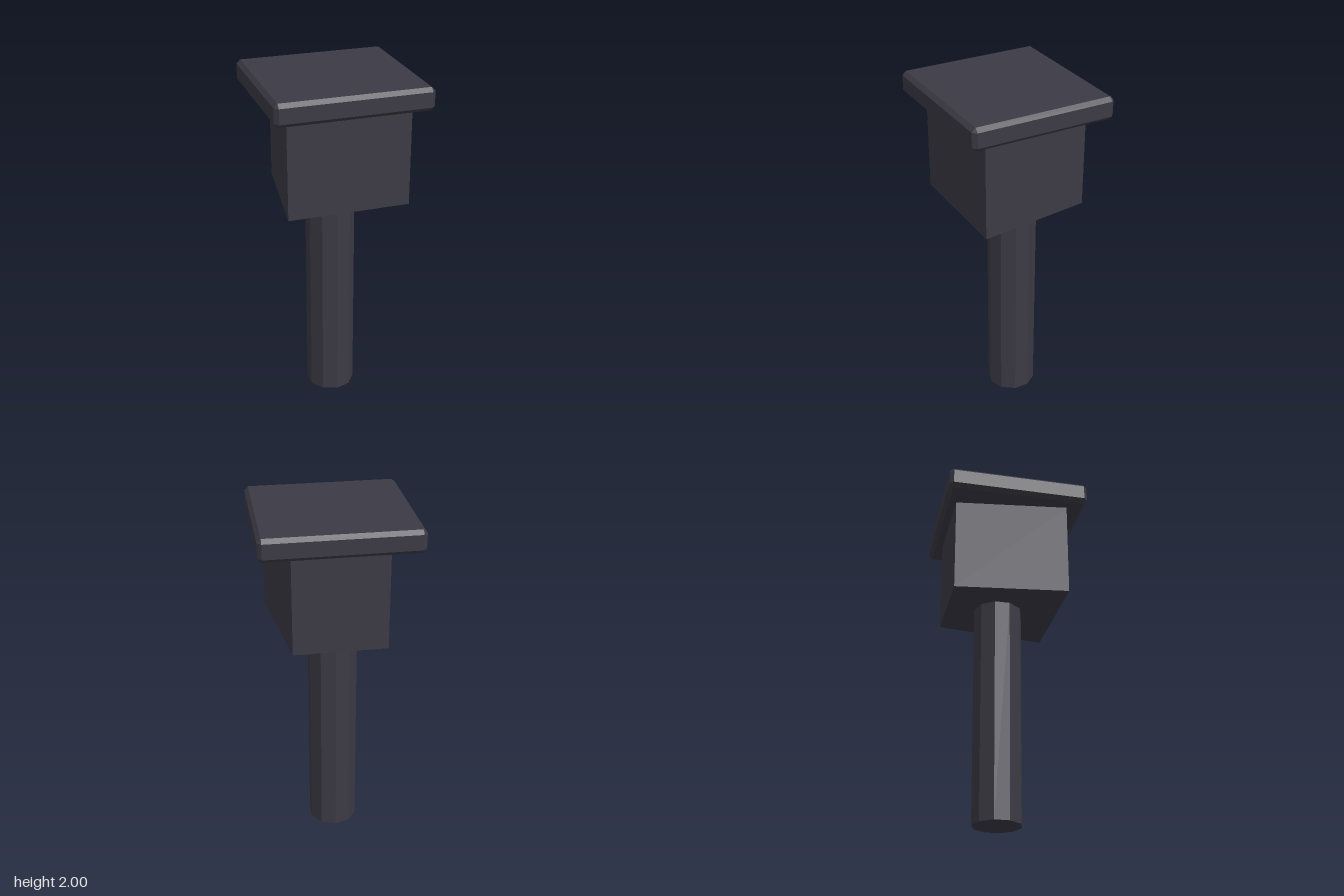
import * as THREE from 'three';
import { ConvexGeometry } from 'three/addons/geometries/ConvexGeometry.js';

// Box with every edge cut by a flat chamfer
function chamferBox(w, h, d, c) {
  const half = [w / 2, h / 2, d / 2];
  const points = [];
  for (const sx of [-1, 1]) for (const sy of [-1, 1]) for (const sz of [-1, 1]) {
    for (let axis = 0; axis < 3; axis++) {
      const [x, y, z] = half.map((v, i) => (i === axis ? v : v - c));
      points.push(new THREE.Vector3(sx * x, sy * y, sz * z));
    }
  }
  return new ConvexGeometry(points);
}

// Box whose back face is narrower than its front
function taperedBox(frontWidth, backWidth, h, d) {
  const geometry = new THREE.BoxGeometry(frontWidth, h, d);
  const pos = geometry.attributes.position;
  for (let i = 0; i < pos.count; i++) {
    if (pos.getZ(i) < 0) pos.setX(i, Math.sign(pos.getX(i)) * backWidth / 2);
  }
  geometry.computeVertexNormals();
  return geometry;
}

export function createModel() {
  const model = new THREE.Group();
  model.name = 'post';
  const charcoal = new THREE.MeshStandardMaterial({ color: 0x3c3a44 });
  charcoal.name = 'charcoal';
  charcoal.flatShading = true;

  const add = (name, geometry, y, z) => {
    const mesh = new THREE.Mesh(geometry, charcoal);
    mesh.name = name;
    mesh.position.set(0, y, z);
    model.add(mesh);
  };

  // Ten-sided stem, set slightly towards the back
  add('stem', new THREE.CylinderGeometry(0.142, 0.142, 1.305, 10), 0.6525, -0.041);
  // Block on the stem, narrowing towards the back
  add('block', taperedBox(0.694, 0.524, 0.568, 0.653), 1.589, -0.0215);
  // Overhanging chamfered cap
  add('cap', chamferBox(0.87, 0.128, 0.826, 0.022), 1.936, 0);

  return model;
}
